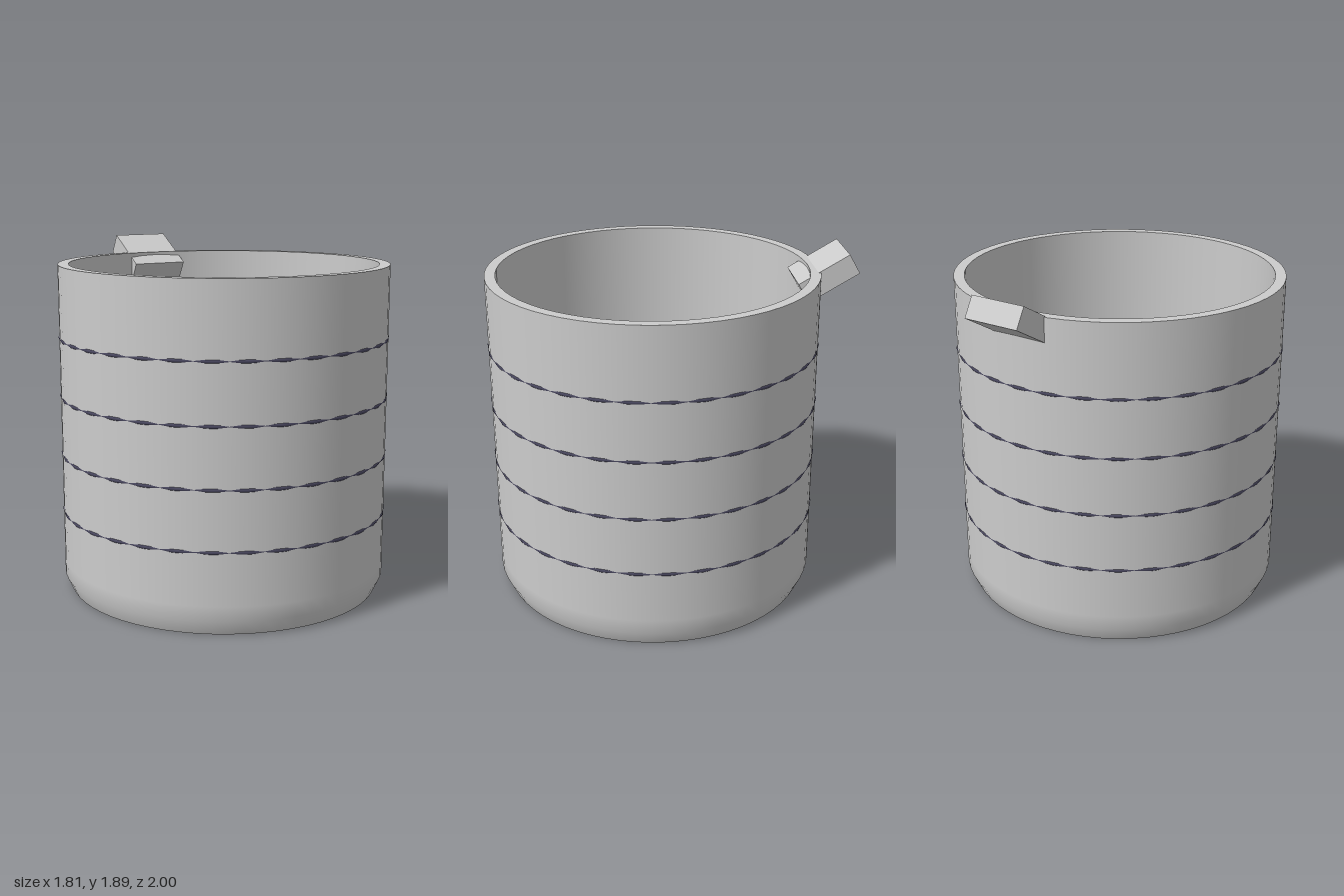
import * as THREE from 'three';

const SEGMENTS = 64;
const AXIS_Z = 0.095; // the cup axis sits forward to balance the tab

export function createModel() {
  const model = new THREE.Group();
  const grey = new THREE.MeshStandardMaterial({ color: 0xcccccc });
  const dark = new THREE.MeshStandardMaterial({ color: 0x4a4860 });

  const add = (parent, name, geometry, material) => {
    const mesh = new THREE.Mesh(geometry, material);
    mesh.name = name;
    parent.add(mesh);
    return mesh;
  };

  // Cup: one lathe per smooth zone, so the edges between zones stay sharp
  const cup = new THREE.Group();
  cup.name = 'cup';
  cup.position.z = AXIS_Z;
  model.add(cup);
  const zones = {
    base: [[0, 0], [0.863, 0]],
    outerWall: [[0.863, 0], [0.9, 0.08], [0.9, 0.16], [0.9, 1.8]],
    rim: [[0.9, 1.8], [0.842, 1.8]],
    innerWall: [[0.842, 1.8], [0.842, 0.06]],
    floor: [[0.842, 0.06], [0, 0.06]],
  };
  for (const [name, points] of Object.entries(zones)) {
    const profile = points.map(([r, y]) => new THREE.Vector2(r, y));
    add(cup, name, new THREE.LatheGeometry(profile, SEGMENTS), grey);
  }

  // Thin rings half sunk into the outer wall
  const ringGeometry = new THREE.TorusGeometry(0.893, 0.012, 8, 32);
  ringGeometry.rotateX(Math.PI / 2);
  for (let i = 0; i < 4; i++) {
    add(cup, 'ring', ringGeometry, dark).position.y = 0.443 + i * 0.32;
  }

  // Tilted tab passing through the wall at the back of the rim
  const tab = add(model, 'tab', new THREE.BoxGeometry(0.32, 0.12, 0.312), grey);
  tab.position.set(0, 1.765, -0.835);
  tab.rotation.x = Math.PI / 6;

  return model;
}
